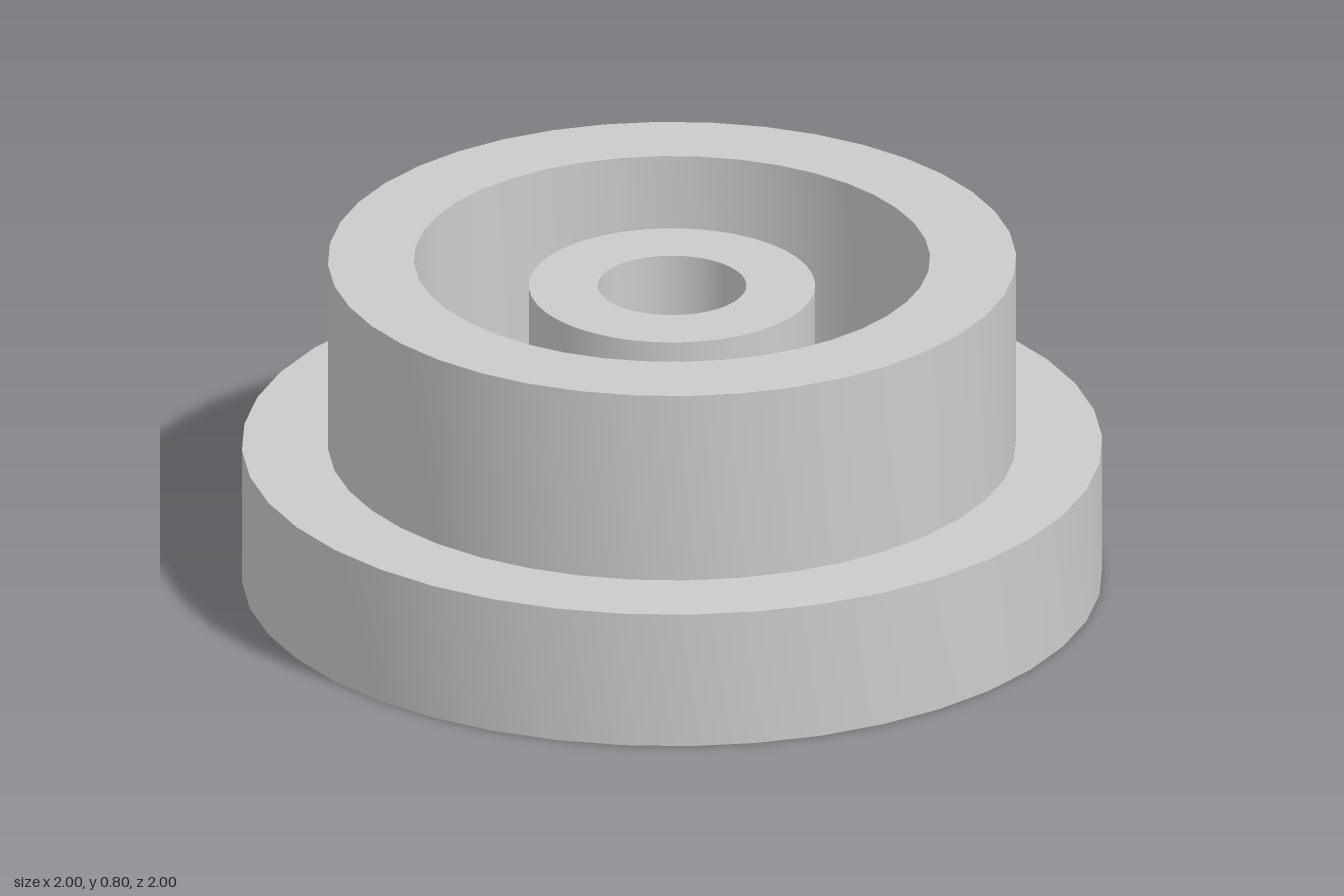
import * as THREE from 'three';
import { toCreasedNormals } from 'three/addons/utils/BufferGeometryUtils.js';

const SEGMENTS = 40;

// Revolves a closed stepped section: wide foot, narrower neck, straight bore.
function steppedRing(name, bore, neck, foot, stepY, topY, material) {
  const profile = [
    [bore, 0], [foot, 0], [foot, stepY], [neck, stepY], [neck, topY], [bore, topY], [bore, 0],
  ].map(([r, y]) => new THREE.Vector2(r, y));
  const geometry = toCreasedNormals(new THREE.LatheGeometry(profile, SEGMENTS), 0.5);
  const mesh = new THREE.Mesh(geometry, material);
  mesh.name = name;
  return mesh;
}

export function createModel() {
  const group = new THREE.Group();
  group.name = 'flangedBushing';
  const material = new THREE.MeshStandardMaterial({ color: 0xcccccc });

  // Outer collar with its flange
  group.add(steppedRing('outerCollar', 0.6, 0.8, 1, 0.333, 0.8, material));
  // Separate inner sleeve, slightly lower than the collar
  group.add(steppedRing('innerSleeve', 0.173, 0.333, 0.467, 0.333, 0.733, material));

  return group;
}
